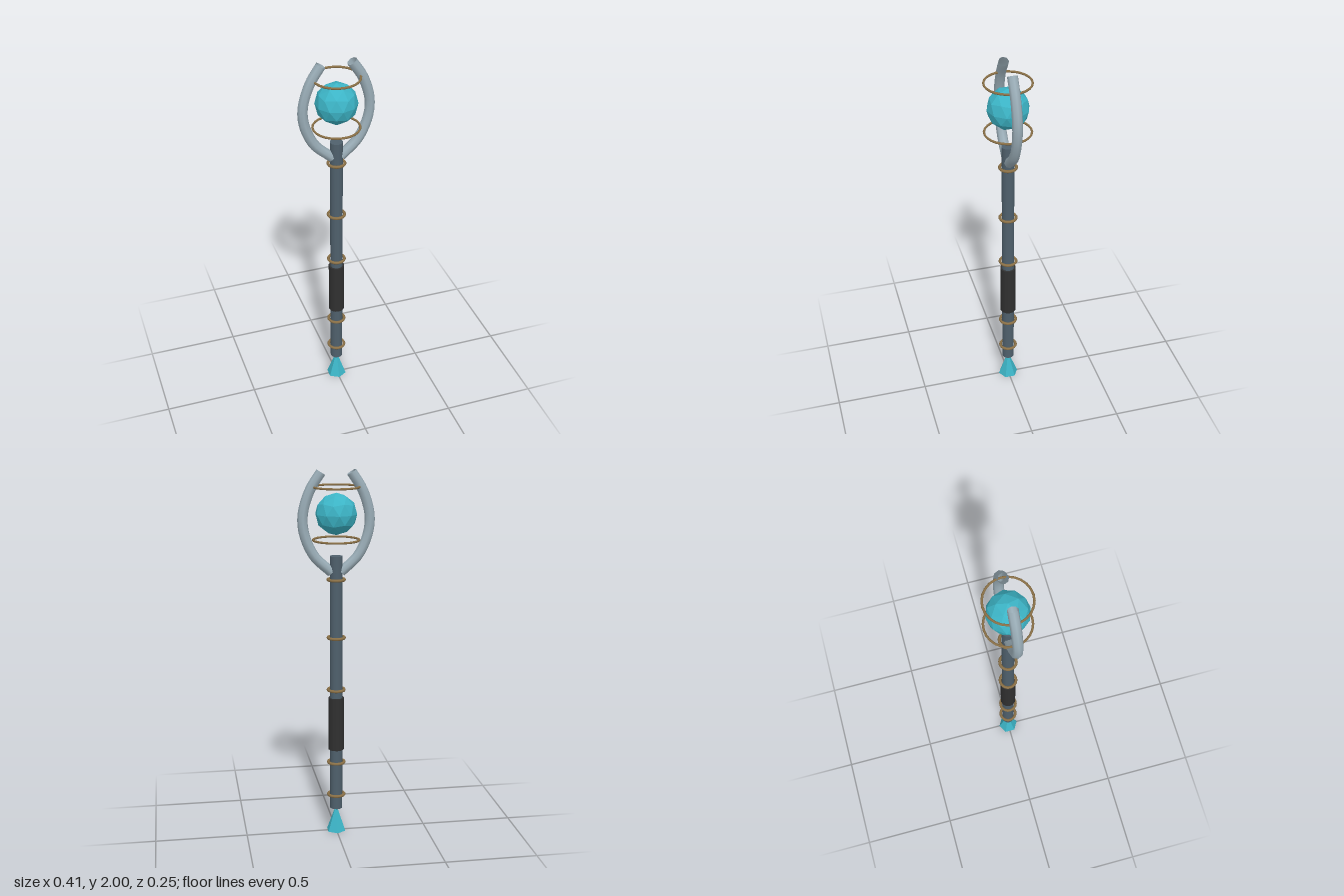
import * as THREE from 'three';

const mat = (name, color, extra = {}) =>
  Object.assign(new THREE.MeshStandardMaterial({ color, ...extra }), { name });

export function createModel() {
  const staff = new THREE.Group();
  staff.name = 'staff';

  const darkSteel = mat('dark steel', 0x4f606c);
  const paleSteel = mat('pale steel', 0x9aadb7, { side: THREE.DoubleSide });
  const leather = mat('black leather', 0x303030);
  const bronze = mat('bronze', 0x8c7248);
  const crystal = mat('teal crystal', 0x3cb4c6, { flatShading: true });

  const add = (name, geometry, material, y = 0) => {
    const mesh = new THREE.Mesh(geometry, material);
    mesh.name = name;
    mesh.position.y = y;
    staff.add(mesh);
    return mesh;
  };

  // Shaft and its wrapped grip
  add('shaft', new THREE.CylinderGeometry(0.034, 0.034, 1.415, 12), darkSteel, 0.8425);
  add('grip', new THREE.CylinderGeometry(0.043, 0.043, 0.295, 12), leather, 0.6275);

  // Six-sided crystal foot, its tip set into the shaft
  add('footCrystal', new THREE.ConeGeometry(0.055, 0.15, 6), crystal, 0.075);

  // Thin bands around the shaft
  const band = new THREE.TorusGeometry(0.044, 0.008, 6, 20).rotateX(Math.PI / 2);
  [0.215, 0.405, 0.82, 1.11, 1.425].forEach((y) => add('shaftBand', band, bronze, y));

  // Floating rings above and below the orb
  const halo = new THREE.TorusGeometry(0.121, 0.006, 6, 24).rotateX(Math.PI / 2);
  [1.635, 1.91].forEach((y) => add('orbRing', halo, bronze, y));

  // Faceted orb, turned so that a corner points straight up
  const orb = new THREE.IcosahedronGeometry(0.11, 1);
  orb.rotateZ(-Math.atan(2 / (1 + Math.sqrt(5))));
  add('orb', orb, crystal, 1.77);

  // Pair of open curved prongs holding the head
  const profile = [[0.025, 1.465], [0.115, 1.55], [0.163, 1.65], [0.177, 1.73],
    [0.17, 1.8], [0.135, 1.9], [0.08, 1.986]];
  for (const side of [1, -1]) {
    const path = new THREE.CatmullRomCurve3(
      profile.map(([x, y]) => new THREE.Vector3(side * x, y, 0)));
    add(side > 0 ? 'leftProng' : 'rightProng',
      new THREE.TubeGeometry(path, 20, 0.027, 8), paleSteel);
  }

  return staff;
}
